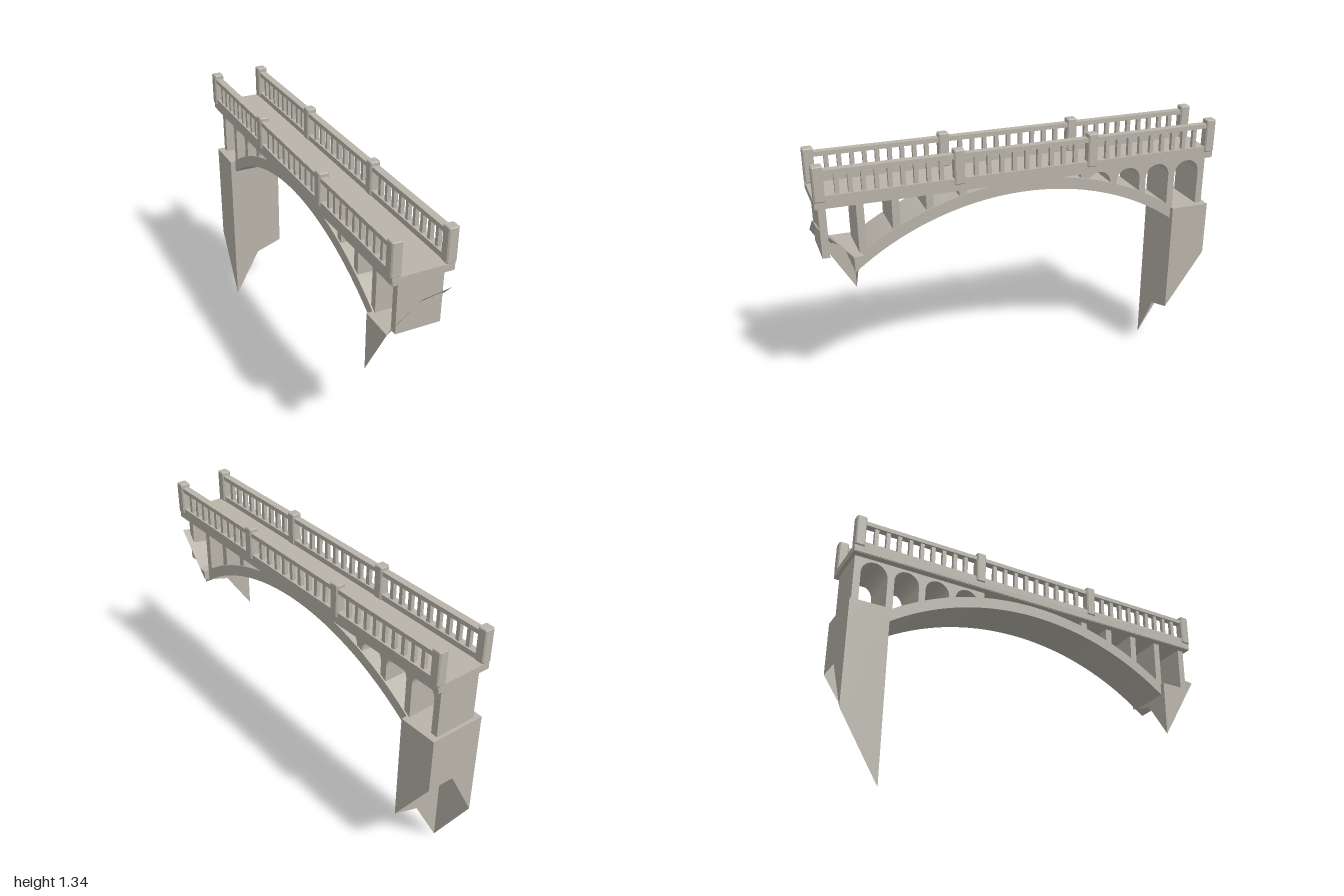
import * as THREE from 'three';

export function createModel() {
  const model = new THREE.Group();
  const stone = new THREE.MeshStandardMaterial({ color: 0xb8b4aa, side: THREE.DoubleSide });
  stone.name = 'stone';

  const add = (name, geometry) => {
    const mesh = new THREE.Mesh(geometry, stone);
    mesh.name = name;
    model.add(mesh);
    return mesh;
  };
  // Box given by its limits on each axis
  const box = (name, x0, x1, y0, y1, z0, z1) => {
    add(name, new THREE.BoxGeometry(x1 - x0, y1 - y0, z1 - z0))
      .position.set((x0 + x1) / 2, (y0 + y1) / 2, (z0 + z1) / 2);
  };
  // Side outline (z, y) extruded across the bridge
  const across = (name, shape, halfWidth) => {
    const g = new THREE.ExtrudeGeometry(shape, { depth: halfWidth * 2, bevelEnabled: false, curveSegments: 16 });
    add(name, g.translate(0, 0, -halfWidth).rotateY(-Math.PI / 2));
  };

  // Deck
  box('deck', -0.142, 0.142, 1.135, 1.17, -1, 1);

  // Chamfered parapet post outline
  const a = 0.025, b = 0.019;
  const postShape = new THREE.Shape([
    [a, -b], [a, b], [b, a], [-b, a], [-a, b], [-a, -b], [-b, -a], [b, -a],
  ].map(([x, y]) => new THREE.Vector2(x, y)));
  const postGeometry = new THREE.ExtrudeGeometry(postShape, {
    depth: 0.157, bevelEnabled: true, bevelThickness: 0.004, bevelSize: 0.003, bevelOffset: -0.003, bevelSegments: 1,
  }).rotateX(-Math.PI / 2);
  const balusterGeometry = new THREE.BoxGeometry(0.02, 0.1, 0.02);
  const postZ = [-0.975, -0.333, 0.333, 0.975];

  // Parapets on both sides
  for (const s of [-1, 1]) {
    const [x0, x1] = s > 0 ? [0.11, 0.146] : [-0.146, -0.11];
    box('curb', x0, x1, 1.137, 1.197, -0.998, 0.998);
    box('handrail', x0, x1, 1.293, 1.315, -0.975, 0.975);
    postZ.forEach((z, i) => {
      add('parapetPost', postGeometry).position.set(s * 0.128, 1.174, z);
      if (i === 3) return;
      const start = z + 0.0225, gap = (postZ[i + 1] - z - 0.045) / 10;
      for (let k = 1; k < 10; k++) {
        add('baluster', balusterGeometry).position.set(s * 0.128, 1.245, start + k * gap);
      }
    });
  }

  // Main arch rib
  const arc = (z, top, r) => top - r + Math.sqrt(r * r - z * z);
  const outer = (z) => arc(z, 1.135, 1.4);
  const inner = (z) => arc(z, 1.077, 1.37);
  const ring = [];
  const N = 40, end = 0.84;
  for (let i = 0; i <= N; i++) {
    const z = -end + (2 * end * i) / N;
    ring.push(new THREE.Vector2(z, inner(z)));
  }
  for (let i = N; i >= 0; i--) {
    const z = -end + (2 * end * i) / N;
    ring.push(new THREE.Vector2(z, outer(z)));
  }
  across('mainArch', new THREE.Shape(ring), 0.115);

  // Cross walls between arch and deck
  const wallZ = [0.31, 0.47, 0.632, 0.795, 0.965];
  for (const s of [-1, 1]) {
    for (const z of wallZ) {
      const bottom = z > 0.9 ? 0.88 : outer(z + 0.0175) - 0.012;
      box('crossWall', -0.108, 0.108, bottom, 1.136, s * z - 0.0175, s * z + 0.0175);
    }
  }

  // Small vaults between the rear cross walls
  for (let i = 0; i < 4; i++) {
    const z0 = -wallZ[i + 1] + 0.0175, z1 = -wallZ[i] - 0.0175;
    const r = (z1 - z0) / 2, spring = 1.122 - r;
    const s = new THREE.Shape();
    s.moveTo(z1, spring);
    s.lineTo(z1, 1.136);
    s.lineTo(z0, 1.136);
    s.lineTo(z0, spring);
    s.absarc((z0 + z1) / 2, spring, r, Math.PI, 0, true);
    across('vault', s, 0.108);
  }

  // Hollow abutment: top plate at 0.88 draped over the ground, skirt walls down to the ground.
  // inside and outside hold ground heights at x = -w, 0, w for |z| = 0.8 and |z| = 1
  const W = 0.142, TOP = 0.88;
  const abutment = (name, side, inside, outside) => {
    const ground = (u, v) => {
      const i = u < 0.5 ? 0 : 1, t = u * 2 - i;
      const h = (row) => row[i] + (row[i + 1] - row[i]) * t;
      return h(inside) + (h(outside) - h(inside)) * v;
    };
    const surface = (nu, nv, point) => {
      const pos = [], index = [];
      for (let j = 0; j <= nv; j++) for (let i = 0; i <= nu; i++) pos.push(...point(i / nu, j / nv));
      for (let j = 0; j < nv; j++) {
        for (let i = 0; i < nu; i++) {
          const p = j * (nu + 1) + i, q = p + nu + 1;
          index.push(p, q, p + 1, p + 1, q, q + 1);
        }
      }
      if (side < 0) index.reverse();
      const g = new THREE.BufferGeometry();
      g.setAttribute('position', new THREE.Float32BufferAttribute(pos, 3));
      g.setIndex(index);
      const flat = g.toNonIndexed();
      flat.computeVertexNormals();
      return flat;
    };
    const at = (u, v, y) => [(u * 2 - 1) * W, y, side * (0.8 + 0.2 * v)];
    add(name + 'Top', surface(12, 24, (u, v) => at(u, v, Math.max(TOP, ground(u, v)))));
    // Perimeter walls, kept only where the ground lies below the top
    const edges = [(t) => [t, 0], (t) => [1, t], (t) => [1 - t, 1], (t) => [0, 1 - t]];
    for (const edge of edges) {
      if (side > 0 && edge === edges[2]) continue;
      add(name + 'Wall', surface(24, 1, (t, k) => {
        const [u, v] = edge(t);
        return at(u, v, k ? TOP : Math.min(TOP, ground(u, v)));
      }));
    }
  };
  abutment('rearAbutment', -1, [0.0, 0.26, 0.31], [0.33, 0.6, 0.605]);
  abutment('frontAbutment', 1, [0.58, 0.79, 0.83], [0.925, 1.03, 1.052]);

  return model;
}
